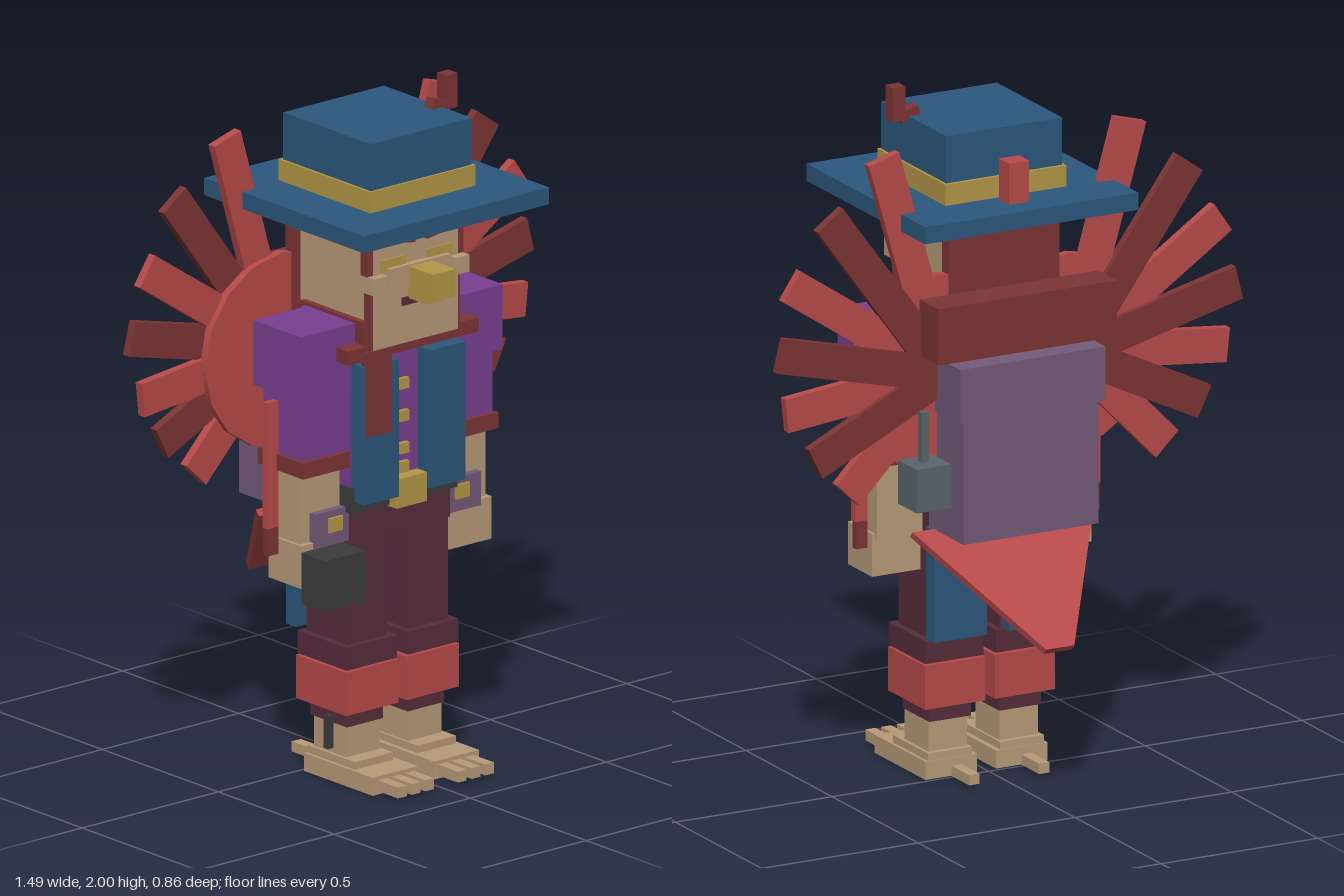
import * as THREE from 'three';

const colors = {
  blue: 0x2c587c, red: 0xb84a4a, darkRed: 0x7d3535, tan: 0xb89b79, plum: 0x562d3c,
  purple: 0x7a3f92, gold: 0xb39847, charcoal: 0x3c3c3c, mauve: 0x735b79, slate: 0x5a666b,
};

export function createModel() {
  const model = new THREE.Group();
  model.name = 'featheredTraveller';
  const mats = {};
  for (const key in colors) {
    mats[key] = new THREE.MeshStandardMaterial({ color: colors[key] });
    mats[key].name = key;
  }
  const add = (name, geo, color, parent = model) => {
    const mesh = new THREE.Mesh(geo, mats[color]);
    mesh.name = name;
    parent.add(mesh);
    return mesh;
  };
  // Box given by its lower and upper limits on each axis
  const box = (name, color, x0, x1, y0, y1, z0, z1) => {
    const mesh = add(name, new THREE.BoxGeometry(Math.abs(x1 - x0), y1 - y0, z1 - z0), color);
    mesh.position.set((x0 + x1) / 2, (y0 + y1) / 2, (z0 + z1) / 2);
    return mesh;
  };
  // Box mirrored to both sides
  const pair = (name, color, x0, x1, ...rest) => {
    box(name + 'Left', color, x0, x1, ...rest);
    box(name + 'Right', color, -x1, -x0, ...rest);
  };

  // Hat
  box('hatBrim', 'blue', -0.34, 0.34, 1.66, 1.71, -0.25, 0.44);
  box('hatBand', 'gold', -0.193, 0.193, 1.71, 1.772, -0.1, 0.295);
  box('hatCrown', 'blue', -0.185, 0.185, 1.772, 1.91, -0.09, 0.288);
  box('hatFeather', 'darkRed', 0.197, 0.238, 1.9, 2, 0.125, 0.165);
  box('hatFeatherStem', 'darkRed', 0.15, 0.21, 1.9, 1.93, 0.128, 0.162).rotation.z = -0.3;
  box('hatBackFeather', 'red', -0.032, 0.032, 1.64, 1.83, -0.177, -0.117);

  // Head and face
  box('head', 'tan', -0.155, 0.155, 1.29, 1.68, -0.05, 0.265);
  box('hair', 'darkRed', -0.177, 0.177, 1.29, 1.63, -0.09, -0.05);
  pair('sideburn', 'darkRed', 0.15, 0.165, 1.28, 1.46, 0.235, 0.262);
  pair('temple', 'darkRed', 0.15, 0.177, 1.51, 1.63, 0.235, 0.262);
  for (const s of [1, -1]) {
    const brow = box('brow', 'darkRed', s * 0.02, s * 0.165, 1.6, 1.622, 0.255, 0.29);
    brow.rotation.z = s * 0.16;
  }
  pair('eye', 'gold', 0.04, 0.13, 1.515, 1.55, 0.262, 0.27);
  pair('cheek', 'tan', 0.125, 0.175, 1.46, 1.51, 0.24, 0.29);
  box('muzzle', 'tan', -0.11, 0.11, 1.45, 1.525, 0.26, 0.285);
  box('beak', 'gold', -0.042, 0.042, 1.44, 1.52, 0.28, 0.387);
  box('beakLower', 'gold', -0.03, 0.03, 1.42, 1.44, 0.265, 0.345);
  box('mouth', 'plum', -0.052, 0.052, 1.402, 1.425, 0.262, 0.271);

  // Torso and clothing
  box('torso', 'purple', -0.188, 0.188, 0.87, 1.36, -0.01, 0.205);
  box('collar', 'darkRed', -0.24, 0.24, 1.262, 1.303, -0.005, 0.255);
  box('neckScarf', 'darkRed', -0.172, 0.172, 1.3, 1.37, -0.03, 0.25);
  box('scarfEnd', 'darkRed', -0.18, -0.09, 1.04, 1.29, 0.24, 0.268);
  pair('vest', 'blue', 0.058, 0.186, 0.84, 1.245, 0.2, 0.26);
  pair('coatTail', 'blue', 0.035, 0.205, 0.42, 0.75, -0.055, -0.01);
  for (const y of [1.15, 1.055, 0.96, 0.905]) box('button', 'gold', -0.016, 0.016, y - 0.016, y + 0.016, 0.2, 0.218);
  box('belt', 'charcoal', -0.192, 0.192, 0.805, 0.88, -0.015, 0.218);
  box('buckle', 'gold', -0.056, 0.056, 0.8, 0.885, 0.2, 0.248);

  // Arms
  pair('shoulder', 'purple', 0.185, 0.37, 1.17, 1.36, 0, 0.205);
  pair('upperArm', 'purple', 0.19, 0.35, 0.985, 1.17, 0.02, 0.185);
  pair('sleeveBand', 'darkRed', 0.185, 0.358, 0.938, 0.985, 0.005, 0.2);
  pair('forearm', 'tan', 0.195, 0.34, 0.72, 0.94, 0.03, 0.165);
  pair('hand', 'tan', 0.195, 0.35, 0.61, 0.735, 0.04, 0.18);
  pair('pouch', 'mauve', 0.16, 0.305, 0.72, 0.82, 0.1, 0.188);
  pair('pouchClasp', 'gold', 0.208, 0.258, 0.758, 0.8, 0.18, 0.196);
  pair('sleeveFeather', 'red', 0.352, 0.392, 0.77, 1.14, 0.063, 0.085);
  pair('sleeveFeatherTip', 'darkRed', 0.352, 0.388, 0.69, 0.77, 0.063, 0.085);
  box('heldBlock', 'charcoal', -0.35, -0.2, 0.567, 0.717, 0.182, 0.285);
  box('hangingRod', 'charcoal', -0.286, -0.266, 0.135, 0.232, 0.202, 0.222);

  // Legs and feet
  box('hips', 'plum', -0.18, 0.18, 0.715, 0.81, -0.005, 0.2);
  pair('thigh', 'plum', 0.04, 0.185, 0.41, 0.72, 0.01, 0.187);
  pair('kneeBand', 'plum', 0.02, 0.205, 0.345, 0.412, -0.005, 0.208);
  pair('legWrap', 'red', 0.015, 0.207, 0.212, 0.34, -0.008, 0.208);
  pair('shin', 'plum', 0.045, 0.178, 0.165, 0.346, 0.02, 0.177);
  pair('ankle', 'tan', 0.052, 0.175, 0.06, 0.167, 0.032, 0.17);
  pair('instep', 'tan', 0.045, 0.185, 0.05, 0.075, 0.015, 0.22);
  pair('foot', 'tan', 0.03, 0.195, 0, 0.053, 0.012, 0.308);
  for (const x of [0.06, 0.11, 0.16]) pair('toe', 'tan', x - 0.016, x + 0.016, 0.01, 0.042, 0.3, 0.395);
  pair('heelSpur', 'tan', 0.095, 0.128, 0.01, 0.04, -0.12, -0.018);

  // Wing fans: a disc with seven radiating feathers on each side
  const lengths = [0.68, 0.625, 0.58, 0.54, 0.5, 0.46, 0.435];
  for (const s of [1, -1]) {
    const fan = new THREE.Group();
    fan.name = s > 0 ? 'fanLeft' : 'fanRight';
    fan.position.set(s * 0.207, 1.225, 0);
    model.add(fan);
    const disc = add('fanDisc', new THREE.CylinderGeometry(0.285, 0.285, 0.025, 16).toNonIndexed(), 'red', fan);
    disc.rotation.x = Math.PI / 2;
    disc.position.z = -0.077;
    lengths.forEach((len, i) => {
      const geo = new THREE.BoxGeometry(0.1, len, 0.027).translate(0, len / 2, 0);
      const feather = add('fanFeather', geo, i % 2 ? 'darkRed' : 'red', fan);
      feather.position.z = i % 2 ? -0.112 : -0.097;
      feather.rotation.z = -s * THREE.MathUtils.degToRad(16 + 20 * i);
    });
  }

  // Backpack, bedroll and cup
  box('backpack', 'mauve', -0.215, 0.215, 0.76, 1.13, -0.245, -0.045);
  box('backpackFlap', 'mauve', -0.232, 0.232, 1.12, 1.278, -0.257, -0.035);
  box('bedroll', 'darkRed', -0.285, 0.285, 1.29, 1.455, -0.225, -0.118);
  box('cup', 'slate', 0.235, 0.345, 0.862, 0.99, -0.21, -0.1);
  box('cupHandle', 'slate', 0.278, 0.3, 0.99, 1.135, -0.158, -0.135);

  // Sloping tail plate, narrowing to its tip
  const tailShape = new THREE.Shape([[-0.29, 0], [0.29, 0], [0.045, -0.44], [-0.045, -0.44]]
    .map(([x, y]) => new THREE.Vector2(x, y)).reverse());
  const tail = add('tail', new THREE.ExtrudeGeometry(tailShape, { depth: 0.022, bevelEnabled: false }), 'red');
  tail.position.set(0, 0.765, -0.085);
  tail.rotation.x = 0.85;

  return model;
}
